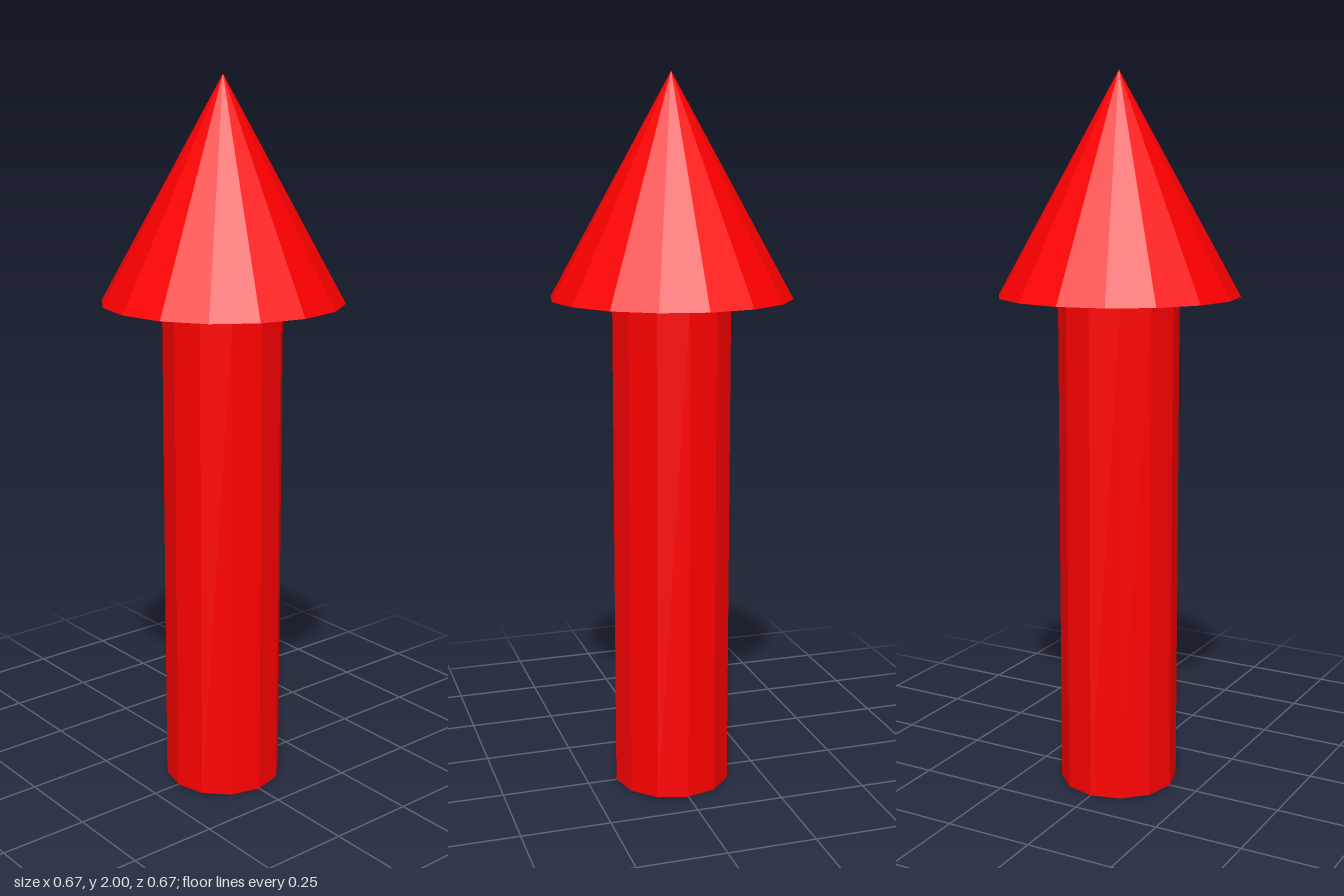
import * as THREE from 'three';

export function createModel() {
  const group = new THREE.Group();
  group.name = 'arrow';
  const red = new THREE.MeshStandardMaterial({ color: 0xff0000, flatShading: true });

  const add = (name, geometry, y) => {
    const mesh = new THREE.Mesh(geometry, red);
    mesh.name = name;
    mesh.position.y = y;
    group.add(mesh);
  };

  const shaftHeight = 1.4, headHeight = 0.6;

  // Twelve-sided shaft standing on the ground
  add('shaft', new THREE.CylinderGeometry(1 / 6, 1 / 6, shaftHeight, 12), shaftHeight / 2);

  // Sixteen-sided pointed head with a closed base
  add('head', new THREE.ConeGeometry(1 / 3, headHeight, 16), shaftHeight + headHeight / 2);

  return group;
}
